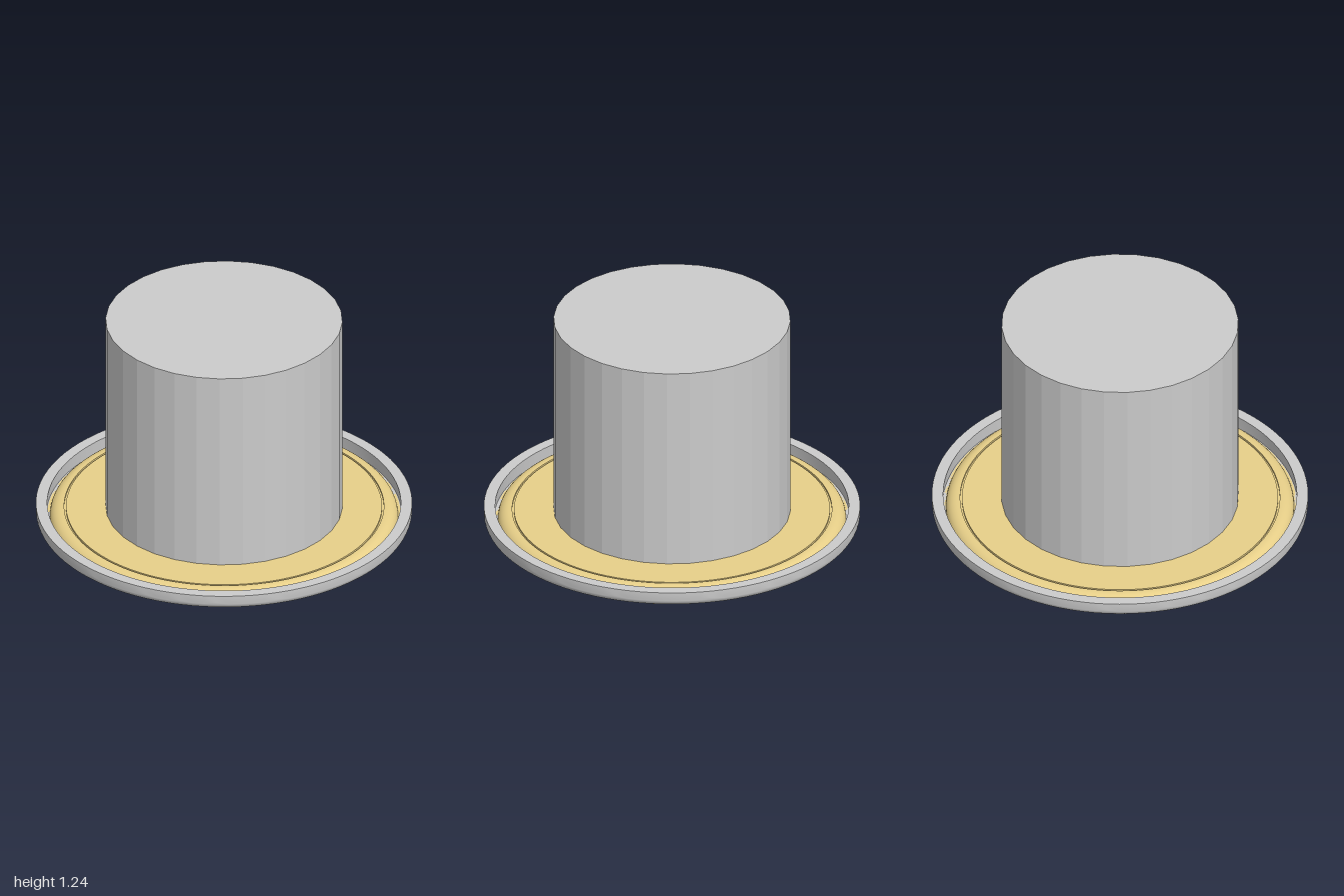
import * as THREE from 'three';
import { toCreasedNormals } from 'three/addons/utils/BufferGeometryUtils.js';

const grey = new THREE.MeshStandardMaterial({ color: 0xcccccc });
const greyFlat = new THREE.MeshStandardMaterial({ color: 0xcccccc, flatShading: true });
const gold = new THREE.MeshStandardMaterial({ color: 0xe8d089 });

// Quarter-ellipse points around (cx, cy), from angle a to b in degrees
function arc(cx, cy, rx, ry, a, b, n = 8) {
  return Array.from({ length: n + 1 }, (_, i) => {
    const t = THREE.MathUtils.degToRad(a + ((b - a) * i) / n);
    return [cx + rx * Math.cos(t), cy + ry * Math.sin(t)];
  });
}

// Turned part: profile runs from the bottom, outward and up
function turned(name, profile, material) {
  const points = profile.map(([x, y]) => new THREE.Vector2(x, y));
  const geometry = toCreasedNormals(new THREE.LatheGeometry(points, 96), Math.PI / 6);
  const mesh = new THREE.Mesh(geometry, material);
  mesh.name = name;
  return mesh;
}

export function createModel() {
  const group = new THREE.Group();
  group.name = 'cylinderOnDish';

  // Stepped base plate with a domed edge and a fine groove in its top
  group.add(turned('basePlate', [
    [0, 0], [0.9, 0], [0.9, 0.025], [0.93, 0.025], [0.93, 0.035], [0.94, 0.035], [0.94, 0.045],
    ...arc(0.86, 0.045, 0.065, 0.055, 0, 90),
    [0.85, 0.1], [0.85, 0.09], [0.84, 0.09], [0.84, 0.1], [0, 0.1],
  ], gold));

  // Outer ring, rounded underneath
  group.add(turned('outerRing', [
    [0.94, 0.12], [0.945, 0.045], [0.925, 0.045], [0.925, 0.035],
    ...arc(0.955, 0.08, 0.045, 0.045, -90, 0),
    [1, 0.12], [0.94, 0.12],
  ], grey));

  // Tall faceted cylinder
  const body = new THREE.Mesh(new THREE.CylinderGeometry(0.63, 0.63, 1.14, 32), greyFlat);
  body.name = 'body';
  body.position.y = 0.67;
  group.add(body);

  return group;
}
